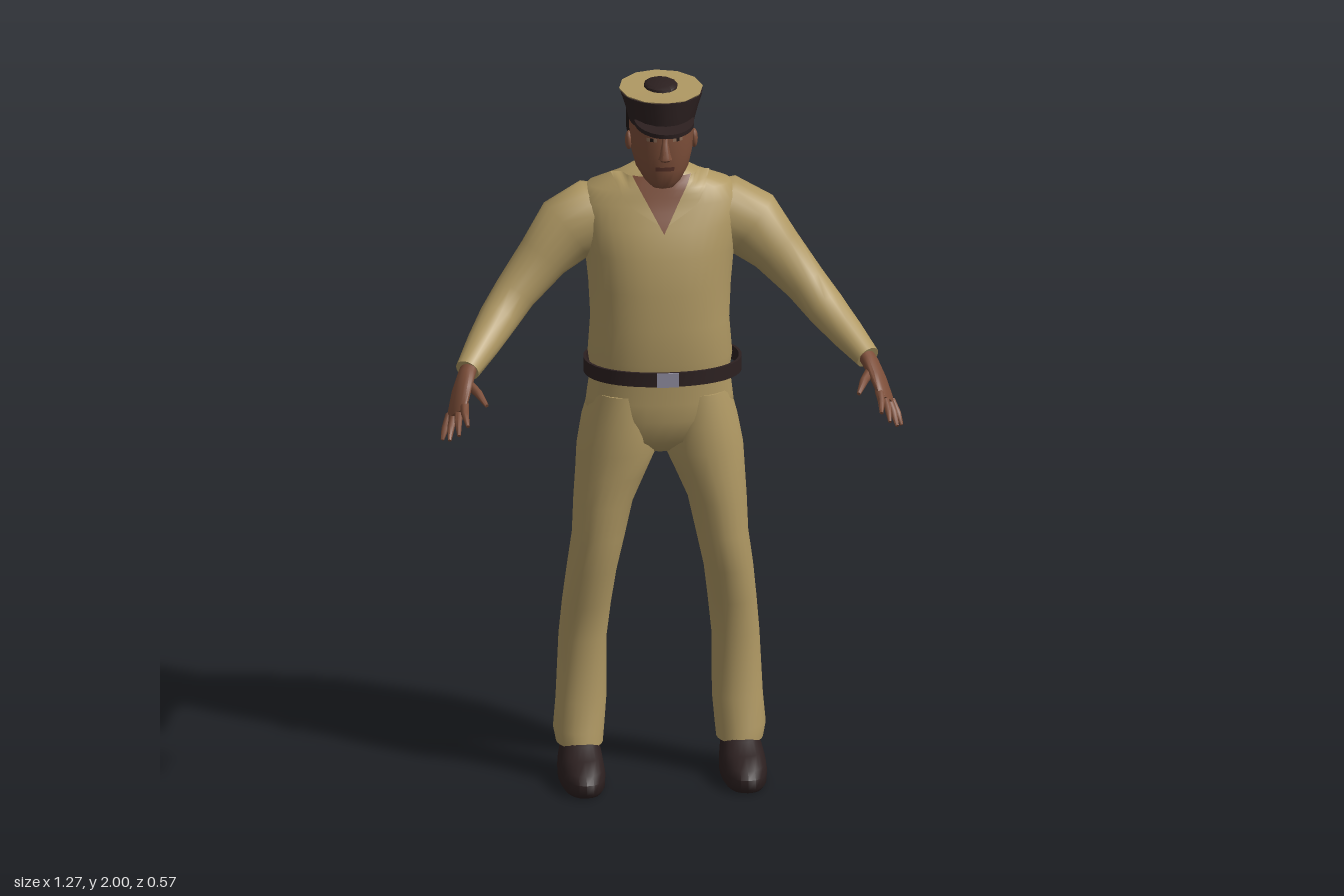
import * as THREE from 'three';
import { toCreasedNormals } from 'three/addons/utils/BufferGeometryUtils.js';

const V = (x, y, z) => new THREE.Vector3(x, y, z);
const paint = (name, color, side = THREE.FrontSide) => {
  const m = new THREE.MeshStandardMaterial({ color, side });
  m.name = name;
  return m;
};

// Skin through elliptical rings { p: centre, u, v: half axes }, with optional end caps
function loft(rings, n = 24, power = 2, caps = true) {
  const pos = [], idx = [];
  const bend = t => Math.sign(t) * Math.pow(Math.abs(t), 2 / power);
  const addRing = r => {
    for (let j = 0; j < n; j++) {
      const a = (j / n) * Math.PI * 2;
      const q = r.p.clone().addScaledVector(r.u, bend(Math.cos(a))).addScaledVector(r.v, bend(Math.sin(a)));
      pos.push(q.x, q.y, q.z);
    }
  };
  rings.forEach(addRing);
  for (let i = 0; i < rings.length - 1; i++) {
    for (let j = 0; j < n; j++) {
      const a = i * n + j, b = i * n + (j + 1) % n;
      idx.push(a, a + n, b, b, a + n, b + n);
    }
  }
  if (caps) {
    [0, rings.length - 1].forEach((k, end) => {
      const c = pos.length / 3;
      pos.push(...rings[k].p.toArray());
      for (let j = 0; j < n; j++) {
        const a = k * n + j, b = k * n + (j + 1) % n;
        if (end) idx.push(c, b, a); else idx.push(c, a, b);
      }
    });
  }
  const g = new THREE.BufferGeometry();
  g.setAttribute('position', new THREE.Float32BufferAttribute(pos, 3));
  g.setIndex(idx);
  return toCreasedNormals(g, 0.95);
}

// Level rings, listed upward: [y, centre x, half width, front z, back z]
const level = rows => rows.map(([y, cx, rx, zf, zb]) =>
  ({ p: V(cx, y, (zf + zb) / 2), u: V(rx, 0, 0), v: V(0, 0, (zf - zb) / 2) }));
const stack = (rows, n, power, caps) => loft(level(rows), n, power, caps);

// Limb along points [x, y, z, half width, half thickness]; s mirrors it in x
function limb(rows, s, ref = V(0, 1, 0), n = 16) {
  const pts = rows.map(r => V(r[0] * s, r[1], r[2]));
  return loft(pts.map((p, i) => {
    const d = pts[Math.min(i + 1, pts.length - 1)].clone().sub(pts[Math.max(i - 1, 0)]).normalize();
    const u = d.clone().cross(ref).normalize();
    const v = u.clone().cross(d);
    return { p, u: u.multiplyScalar(rows[i][3]), v: v.multiplyScalar(rows[i][4]) };
  }), n);
}

// Thin patch lying on the front of a stack between x = left(y) and x = right(y)
function drape(rows, power, y0, y1, left, right, lift, n = 8) {
  const front = (x, y) => {
    let i = 0;
    while (i < rows.length - 2 && rows[i + 1][0] < y) i++;
    const t = (y - rows[i][0]) / (rows[i + 1][0] - rows[i][0]);
    const [rx, zf, zb] = [2, 3, 4].map(k => THREE.MathUtils.lerp(rows[i][k], rows[i + 1][k], t));
    const k = Math.max(0, 1 - Math.pow(Math.abs(x / rx), power));
    return (zf + zb) / 2 + (zf - zb) / 2 * Math.pow(k, 1 / power) + lift;
  };
  const g = new THREE.PlaneGeometry(1, 1, n, n), p = g.attributes.position;
  for (let i = 0; i < p.count; i++) {
    const y = THREE.MathUtils.lerp(y0, y1, p.getY(i) + 0.5);
    const x = THREE.MathUtils.lerp(left(y), right(y), p.getX(i) + 0.5);
    p.setXYZ(i, x, y, front(x, y));
  }
  g.computeVertexNormals();
  return g;
}

export function createModel() {
  const model = new THREE.Group();
  const khaki = paint('khaki cloth', 0xaf9863, THREE.DoubleSide);
  const skin = paint('skin', 0x7c4e39);
  const dark = paint('dark leather', 0x2c2020);
  const hairMat = paint('hair', 0x1f1614);
  const metal = paint('buckle metal', 0x8d8a9c);
  const lipMat = paint('lips', 0x573127);
  const eyeMat = paint('eyes', 0x8a6a55);
  const add = (name, geo, mat) => {
    const m = new THREE.Mesh(geo, mat);
    m.name = name;
    model.add(m);
    return m;
  };

  // Shirt body
  const torso = [
    [1.17, 0, 0.19, 0.02, -0.24], [1.22, 0, 0.198, 0.03, -0.255], [1.32, 0, 0.19, 0.03, -0.268],
    [1.42, 0, 0.195, 0.028, -0.277], [1.52, 0, 0.205, 0.018, -0.284], [1.6, 0, 0.225, -0.005, -0.276],
    [1.66, 0, 0.228, -0.03, -0.256], [1.7, 0, 0.195, -0.042, -0.232], [1.73, 0, 0.12, -0.05, -0.2],
    [1.755, 0, 0.075, -0.058, -0.18],
  ];
  add('shirt', stack(torso, 40, 2.3), khaki);

  // Open neckline with collar
  const vee = y => 0.07 * (y - 1.59) / 0.13;
  add('open neckline', drape(torso, 2.3, 1.59, 1.74, y => -vee(y), vee, 0.006), skin);
  for (const s of [1, -1]) {
    const inner = y => vee(y), outer = y => vee(y) + 0.055 * Math.min(1, (y - 1.615) / 0.05);
    const edges = s > 0 ? [inner, outer] : [y => -outer(y), y => -inner(y)];
    add('collar flap', drape(torso, 2.3, 1.615, 1.74, ...edges, 0.012), khaki);
  }
  add('collar band', loft([
    { p: V(0, 1.715, -0.115), u: V(0.088, 0, 0), v: V(0, -0.012, 0.075) },
    { p: V(0, 1.752, -0.112), u: V(0.074, 0, 0), v: V(0, -0.02, 0.066) },
  ], 24, 2, false), khaki);

  // Trousers seat, then legs and shoes
  add('trouser seat', stack([
    [0.945, 0, 0.04, -0.06, -0.17], [0.985, 0, 0.14, -0.01, -0.225], [1.05, 0, 0.206, 0.01, -0.258],
    [1.1, 0, 0.2, 0.012, -0.255], [1.18, 0, 0.19, 0.015, -0.238],
  ], 32, 2.3), khaki);
  for (const s of [1, -1]) {
    const side = rows => rows.map(([y, cx, ...r]) => [y, cx * s, ...r]);
    add('trouser leg', stack(side([
      [0.1, 0.22, 0.064, -0.045, -0.208], [0.14, 0.222, 0.07, -0.05, -0.208], [0.22, 0.215, 0.07, -0.068, -0.203],
      [0.4, 0.21, 0.066, -0.065, -0.216], [0.5, 0.2, 0.067, -0.05, -0.212], [0.6, 0.188, 0.068, -0.022, -0.203],
      [0.7, 0.17, 0.072, -0.01, -0.207], [0.8, 0.157, 0.081, -0.004, -0.215], [0.88, 0.137, 0.096, 0, -0.222],
      [0.95, 0.119, 0.11, 0.004, -0.238], [1.03, 0.11, 0.104, 0.008, -0.26], [1.12, 0.1, 0.09, 0, -0.235],
    ]), 24, 2.1), khaki);
    add('shoe', stack(side([
      [0, 0.222, 0.055, 0.085, -0.2], [0.012, 0.222, 0.062, 0.098, -0.21], [0.04, 0.222, 0.063, 0.1, -0.21],
      [0.06, 0.222, 0.061, 0.078, -0.207], [0.085, 0.221, 0.056, 0.025, -0.203], [0.105, 0.22, 0.05, -0.04, -0.2],
      [0.13, 0.22, 0.046, -0.07, -0.19],
    ]), 24, 2.4), dark);

    // Sleeve
    add('sleeve', limb([
      [0.1, 1.6, -0.15, 0.085, 0.08], [0.19, 1.595, -0.148, 0.092, 0.108], [0.255, 1.567, -0.14, 0.084, 0.098],
      [0.32, 1.497, -0.122, 0.07, 0.074], [0.4, 1.403, -0.098, 0.058, 0.06], [0.45, 1.345, -0.055, 0.054, 0.056],
      [0.5, 1.295, 0.015, 0.046, 0.047], [0.55, 1.248, 0.093, 0.034, 0.034],
    ], s, undefined, 20), khaki);

    // Hand with four fingers and a thumb
    const palmUp = V(0.0133 * s, 0.0087, 0.0027).normalize();
    add('palm', limb([
      [0.54, 1.26, 0.075, 0.026, 0.022], [0.555, 1.24, 0.11, 0.032, 0.022], [0.572, 1.208, 0.15, 0.042, 0.019],
      [0.587, 1.17, 0.19, 0.044, 0.015], [0.592, 1.157, 0.207, 0.036, 0.01],
    ], s, palmUp), skin);
    const fingers = [
      [[0.57, 1.187, 0.205], [0.572, 1.171, 0.245], [0.568, 1.15, 0.284]],
      [[0.582, 1.173, 0.193], [0.59, 1.15, 0.238], [0.592, 1.122, 0.278]],
      [[0.594, 1.159, 0.18], [0.608, 1.128, 0.218], [0.615, 1.1, 0.25]],
      [[0.606, 1.146, 0.167], [0.622, 1.116, 0.194], [0.631, 1.09, 0.212]],
      [[0.556, 1.226, 0.13], [0.53, 1.213, 0.19], [0.511, 1.19, 0.232]],
    ];
    fingers.forEach((f, i) => {
      const r = [0.013, 0.0105, 0.005].map(t => t * (i === 4 ? 1.15 : 1));
      add(i === 4 ? 'thumb' : 'finger', limb(f.map((p, k) => [...p, r[k], r[k]]), s, palmUp, 8), skin);
    });
  }

  // Belt and buckle
  const beltRing = (y, t) => ({ p: V(0.007, y, -0.113), u: V(0.217 - t, 0, 0), v: V(0, 0, 0.162 - t) });
  add('belt', loft([beltRing(1.166, 0), beltRing(1.206, 0), beltRing(1.206, 0.008),
    beltRing(1.166, 0.008), beltRing(1.166, 0)], 40, 2.2, false), dark);
  add('buckle', new THREE.BoxGeometry(0.06, 0.04, 0.009).translate(0.005, 1.186, 0.05), metal);

  // Neck and head
  add('neck', stack([[1.66, 0, 0.066, -0.045, -0.17], [1.73, 0, 0.061, -0.035, -0.165],
    [1.8, 0, 0.062, -0.03, -0.165]]), skin);
  const head = [
    [1.722, 0, 0.03, -0.002, -0.05], [1.74, 0, 0.05, 0.011, -0.09], [1.775, 0, 0.072, 0.018, -0.13],
    [1.82, 0, 0.084, 0.025, -0.165], [1.87, 0, 0.088, 0.026, -0.175], [1.92, 0, 0.088, 0.026, -0.18],
  ];
  add('head', stack(head, 32), skin);
  add('nose', stack([[1.808, 0, 0.012, 0.035, 0.01], [1.817, 0, 0.019, 0.05, 0.01], [1.828, 0, 0.015, 0.05, 0.01],
    [1.86, 0, 0.009, 0.034, 0.01], [1.885, 0, 0.009, 0.027, 0.01]], 12), skin);
  add('mouth', drape(head, 2, 1.778, 1.79, () => -0.026, () => 0.026, 0.003), lipMat);
  for (const s of [1, -1]) {
    const patch = (name, y0, y1, w, mat, lift) =>
      add(name, drape(head, 2, y0, y1, () => 0.036 * s - w, () => 0.036 * s + w, lift), mat);
    patch('eye', 1.864, 1.874, 0.014, eyeMat, 0.002);
    patch('pupil', 1.864, 1.874, 0.005, hairMat, 0.003);
    patch('eyebrow', 1.883, 1.891, 0.02, hairMat, 0.003);
    const ear = add('ear', new THREE.SphereGeometry(1, 12, 10).scale(0.01, 0.027, 0.018), skin);
    ear.position.set(0.09 * s, 1.842, -0.073);
  }
  add('hair', stack([[1.785, 0, 0.05, -0.11, -0.17], [1.82, 0, 0.082, -0.085, -0.186],
    [1.86, 0, 0.091, -0.065, -0.195], [1.92, 0, 0.092, -0.045, -0.195]], 24, 2.6), hairMat);

  // Cap: dark band, flared khaki crown, top patch and visor
  add('cap band', stack([[1.9, 0, 0.088, 0.05, -0.192], [1.945, 0, 0.1, 0.057, -0.196],
    [1.984, 0, 0.113, 0.059, -0.203]], 20), dark);
  add('cap crown', loft([
    { p: V(0, 1.966, -0.073), u: V(0.106, 0, 0), v: V(0, 0.02, 0.13) },
    { p: V(0, 1.988, -0.085), u: V(0.115, 0, 0), v: V(0, -0.002, 0.142) },
  ], 12), khaki);
  add('cap top patch', stack([[1.985, 0, 0.047, -0.028, -0.157], [1.994, 0, 0.046, -0.03, -0.155],
    [2, 0, 0.036, -0.045, -0.14]], 12), dark);
  const brim = new THREE.Shape().absellipse(0, 0, 0.082, 0.107, 0, Math.PI);
  const visor = add('visor', new THREE.ExtrudeGeometry(brim, { depth: 0.012, bevelEnabled: false, curveSegments: 20 })
    .rotateX(Math.PI / 2), dark);
  visor.position.y = 1.924;
  visor.rotation.x = 0.12;

  return model;
}
